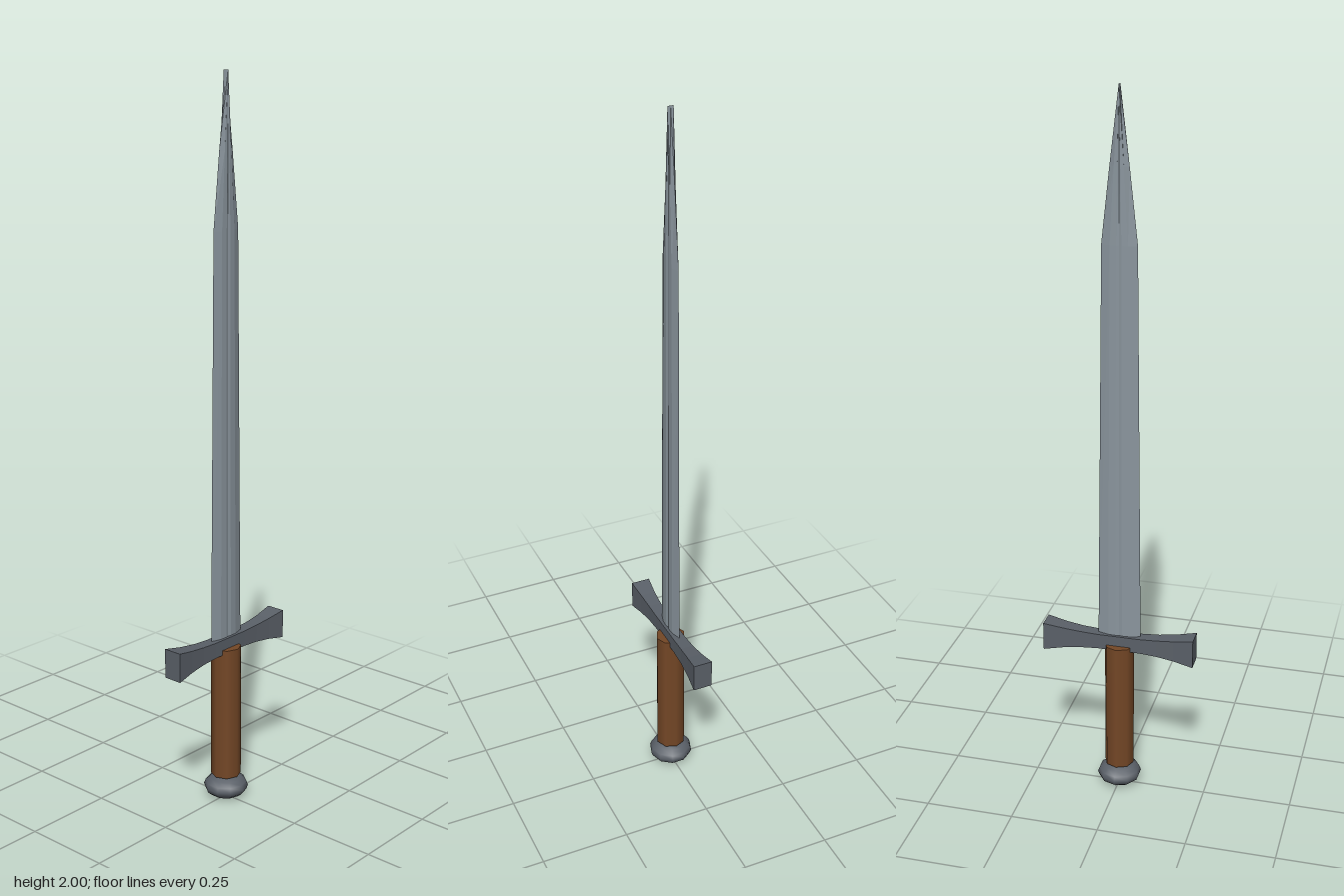
import * as THREE from 'three';

// Closed skin over a list of rings, with flat end caps and faceted normals
function loft(rings) {
  const pos = [];
  const tri = (...pts) => pts.forEach((p) => pos.push(...p));
  const n = rings[0].length;
  for (let i = 0; i < rings.length - 1; i++) {
    for (let j = 0; j < n; j++) {
      const k = (j + 1) % n;
      const a = rings[i][j], b = rings[i][k], c = rings[i + 1][k], d = rings[i + 1][j];
      tri(a, b, c);
      tri(a, c, d);
    }
  }
  const first = rings[0], last = rings[rings.length - 1];
  for (let j = 1; j < n - 1; j++) {
    tri(first[0], first[j + 1], first[j]);
    tri(last[0], last[j], last[j + 1]);
  }
  const g = new THREE.BufferGeometry();
  g.setAttribute('position', new THREE.Float32BufferAttribute(pos, 3));
  g.computeVertexNormals();
  return g;
}

export function createModel() {
  const group = new THREE.Group();
  const material = (name, color) => {
    const m = new THREE.MeshStandardMaterial({ color });
    m.name = name;
    return m;
  };
  const steel = material('blade steel', 0x8a959d);
  const iron = material('dark iron', 0x5a6068);
  const leather = material('brown leather', 0x744726);

  const add = (name, geometry, mat, y = 0) => {
    const mesh = new THREE.Mesh(geometry, mat);
    mesh.name = name;
    mesh.position.y = y;
    group.add(mesh);
    return mesh;
  };

  // Blade: bevelled edges, shallow central groove, tapering to a point
  const side = [[1, 0], [0.5, 0.9], [0.15, 1], [0, 0.75], [-0.15, 1], [-0.5, 0.9]];
  const section = [...side, ...side.map(([z, x]) => [-z, -x])];
  const bladeRings = [
    [0.46, 0.061, 0.01], [1.6, 0.048, 0.009], [1.8, 0.026, 0.0085], [2, 0.0005, 0.008],
  ].map(([y, w, t]) => section.map(([z, x]) => [x * t, y, z * w]));
  add('blade', loft(bladeRings), steel);

  // Crossguard: square bar that flares towards both ends
  const half = [[0.06, 0.0175, 0.022], [0.11, 0.0185, 0.025], [0.16, 0.0215, 0.031], [0.215, 0.027, 0.041]];
  const stations = [...half.map(([z, w, h]) => [-z, w, h]).reverse(), ...half];
  add('crossguard', loft(stations.map(([z, w, h]) =>
    [[w, -h, z], [w, h, z], [-w, h, z], [-w, -h, z]])), iron, 0.463);

  // Eight-sided grip, with a corner on the x axis
  const grip = new THREE.CylinderGeometry(0.042, 0.042, 0.385, 8);
  add('grip', grip, leather, 0.2625);

  // Flattened round pommel
  const pommel = new THREE.SphereGeometry(0.0625, 10, 8);
  pommel.scale(1, 0.54, 1);
  add('pommel', pommel, iron, 0.034);

  return group;
}
